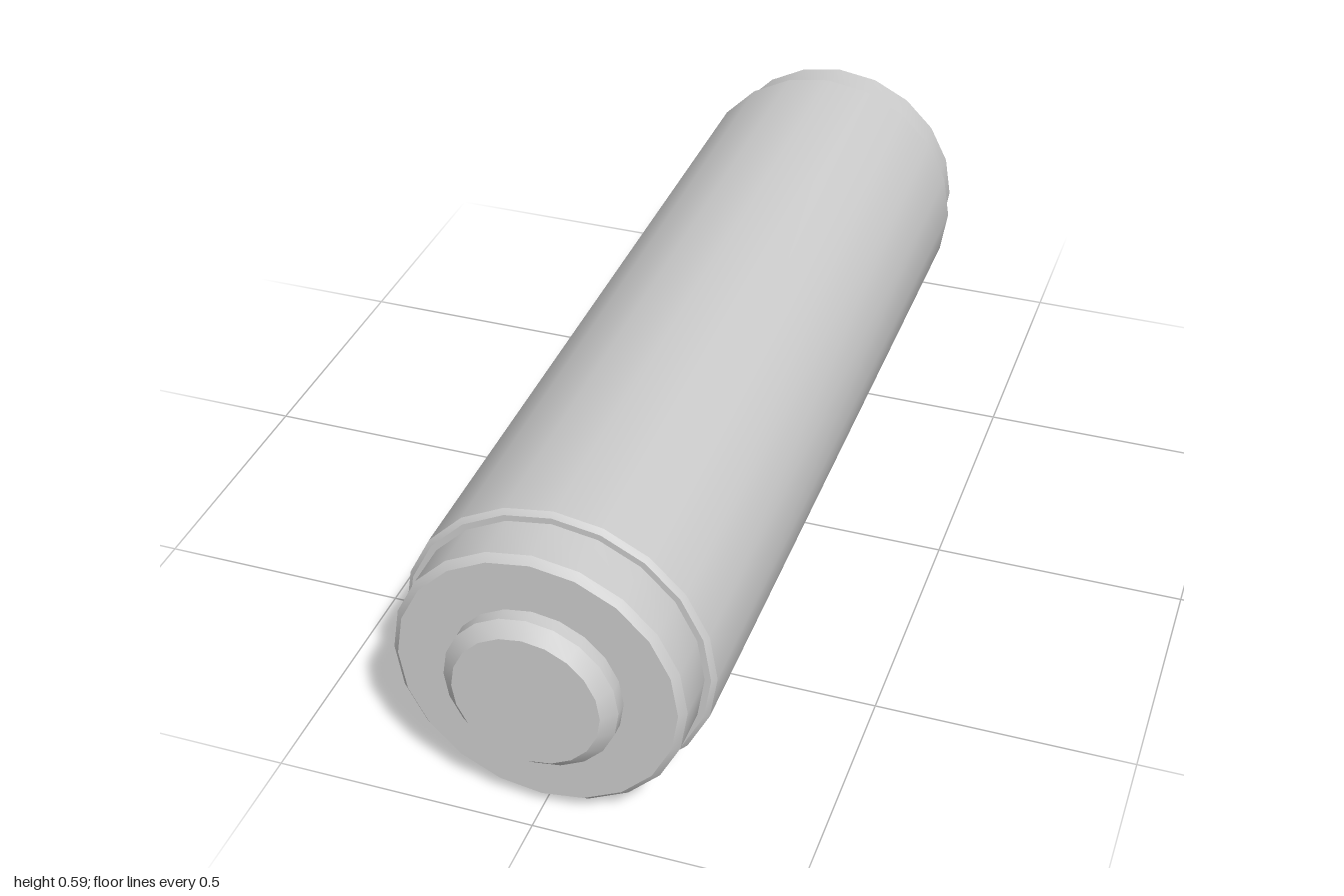
import * as THREE from 'three';
import { toCreasedNormals } from 'three/addons/utils/BufferGeometryUtils.js';

const SIDES = 20;
const RADIUS = 0.296;

// Revolve a [radius, z] profile around the z axis, keeping the rims sharp
function turned(name, profile, material) {
  const points = profile.map(([r, z]) => new THREE.Vector2(r, z));
  const geometry = new THREE.LatheGeometry(points, SIDES).rotateX(Math.PI / 2);
  const mesh = new THREE.Mesh(toCreasedNormals(geometry, 0.5), material);
  mesh.name = name;
  return mesh;
}

export function createModel() {
  const metal = new THREE.MeshStandardMaterial({ color: 0xcccccc });
  metal.name = 'grey metal';

  const model = new THREE.Group();
  model.name = 'capsule';

  // Main casing with small chamfers on both rims
  model.add(turned('casing', [
    [0.27, -0.847], [0.287, -0.847], [RADIUS, -0.838],
    [RADIUS, 0.838], [0.287, 0.847], [0.27, 0.847],
  ], metal));

  // Stepped cap and button, the same at both ends
  for (const [side, turn] of [['front', 0], ['back', Math.PI]]) {
    const end = new THREE.Group();
    end.name = side + 'End';
    end.add(turned('endCap', [
      [0.275, 0.847], [0.275, 0.937], [0.262, 0.95], [0, 0.95],
    ], metal));
    end.add(turned('button', [
      [0.163, 0.95], [0.163, 0.976], [0.138, 1], [0, 1],
    ], metal));
    end.rotation.y = turn;
    model.add(end);
  }

  model.position.y = RADIUS;
  const root = new THREE.Group();
  root.add(model);
  return root;
}
